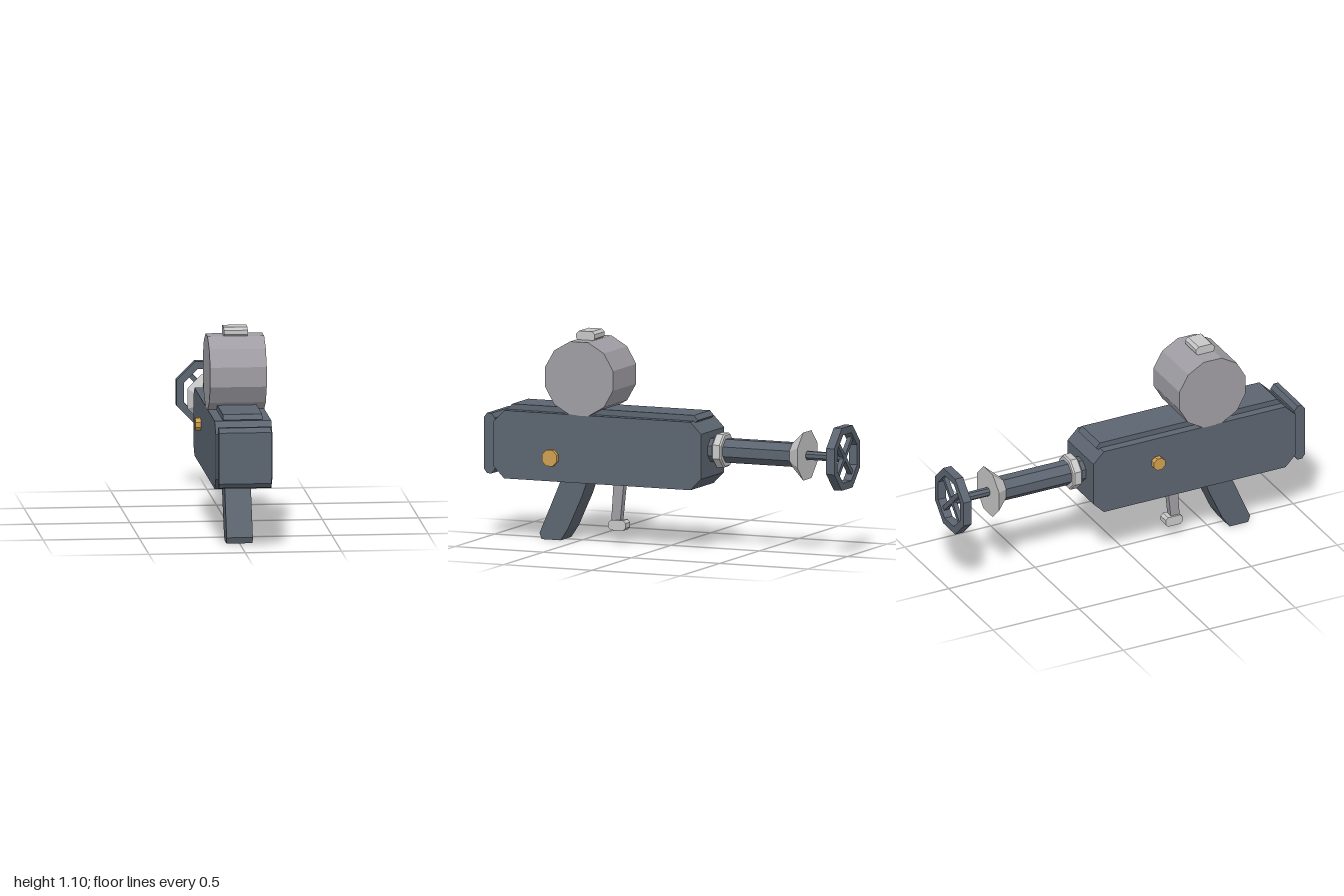
import * as THREE from 'three';

const material = (name, color) => {
  const m = new THREE.MeshStandardMaterial({ color });
  m.name = name;
  return m;
};

export function createModel() {
  const slate = material('slate', 0x5c6570);
  const grey = material('grey', 0xa09ea4);
  const silver = material('silver', 0xc8c8c8);
  const brass = material('brass', 0xd0a050);
  const root = new THREE.Group();
  const axisY = 0.518; // height of the barrel axis

  // Adds a faceted mesh with one flat normal per face
  const add = (name, geometry, mat, x = 0, y = 0, z = 0) => {
    const flat = geometry.index ? geometry.toNonIndexed() : geometry;
    flat.computeVertexNormals();
    const mesh = new THREE.Mesh(flat, mat);
    mesh.name = name;
    mesh.position.set(x, y, z);
    root.add(mesh);
    return mesh;
  };

  // Side profile of [z, y] points, extruded evenly across x
  const profile = (name, points, halfWidth, mat) => {
    const shape = new THREE.Shape(points.map(([z, y]) => new THREE.Vector2(z, y)));
    const g = new THREE.ExtrudeGeometry(shape, { depth: halfWidth * 2, bevelEnabled: false });
    g.translate(0, 0, -halfWidth).rotateY(-Math.PI / 2);
    return add(name, g, mat);
  };

  // Rectangle profile with cut corners
  const chamfered = (z0, z1, y0, y1, cz, cy = cz) => [
    [z0 + cz, y0], [z1 - cz, y0], [z1, y0 + cy], [z1, y1 - cy],
    [z1 - cz, y1], [z0 + cz, y1], [z0, y1 - cy], [z0, y0 + cy],
  ];

  // Octagonal section along z; radii are measured to the flats
  const toCorner = 1 / Math.cos(Math.PI / 8);
  const octagon = (name, z0, z1, r0, r1, mat) => {
    const g = new THREE.CylinderGeometry(r1 * toCorner, r0 * toCorner, z1 - z0, 8);
    g.rotateY(Math.PI / 8).rotateX(Math.PI / 2);
    return add(name, g, mat, 0, axisY, (z0 + z1) / 2);
  };

  // Body, front cap and top plate
  profile('body', chamfered(-0.235, 0.94, 0.32, 0.675, 0.06), 0.147, slate);
  profile('frontCap', chamfered(0.938, 1, 0.34, 0.655, 0.018, 0.024), 0.136, slate);
  profile('topPlate', [
    [-0.175, 0.66], [0.86, 0.66], [0.878, 0.68], [0.855, 0.705], [-0.175, 0.705], [-0.197, 0.68],
  ], 0.102, slate);

  // Drum and its catch
  const drum = new THREE.CylinderGeometry(0.199, 0.199, 0.294, 12);
  drum.rotateY(Math.PI / 12).rotateZ(Math.PI / 2);
  add('drum', drum, grey, 0, 0.864, 0.456);
  profile('drumCatch', chamfered(0.405, 0.51, 1.05, 1.102, 0.015), 0.062, silver);

  // Grip and trigger
  profile('grip', [
    [0.59, 0.325], [0.715, 0.035], [0.703, 0.003], [0.596, 0.003],
    [0.553, 0.067], [0.473, 0.243], [0.445, 0.325],
  ], 0.068, slate);
  profile('trigger', [[0.318, 0.305], [0.33, 0.115], [0.28, 0.11], [0.26, 0.305]], 0.02, grey);
  profile('triggerFoot', chamfered(0.245, 0.343, 0.067, 0.12, 0.014), 0.03, silver);

  // Barrel, collar, flared muzzle and rod
  octagon('barrel', -0.7, -0.23, 0.061, 0.061, slate);
  octagon('collarBack', -0.32, -0.312, 0.08, 0.087, silver);
  octagon('collar', -0.312, -0.275, 0.087, 0.087, silver);
  octagon('collarFront', -0.275, -0.267, 0.087, 0.08, silver);
  octagon('muzzle', -0.772, -0.698, 0.125, 0.061, silver);
  octagon('rod', -0.985, -0.77, 0.022, 0.022, slate);

  // Hand wheel: octagonal rim with crossed spokes
  const ring = (r) => Array.from({ length: 8 }, (_, i) => {
    const a = (i + 0.5) * Math.PI / 4;
    return new THREE.Vector2(Math.cos(a), Math.sin(a)).multiplyScalar(r * toCorner);
  });
  const rim = new THREE.Shape(ring(0.163));
  rim.holes.push(new THREE.Path(ring(0.125).reverse()));
  add('wheelRim', new THREE.ExtrudeGeometry(rim, { depth: 0.046, bevelEnabled: false }), slate, 0, axisY, -0.998);
  for (const side of [-1, 1]) {
    const spoke = add('wheelSpoke', new THREE.BoxGeometry(0.26, 0.024, 0.024), slate, 0, axisY, -0.975);
    spoke.rotation.z = side * Math.PI / 4;
  }

  // Side buttons
  const button = (name, r, x0, x1, y, z) => {
    const g = new THREE.CylinderGeometry(r * toCorner, r * toCorner, x1 - x0, 8);
    g.rotateY(Math.PI / 8).rotateZ(Math.PI / 2);
    add(name, g, brass, (x0 + x1) / 2, y, z);
  };
  button('leftButton', 0.042, 0.145, 0.171, 0.444, 0.614);
  button('rightButton', 0.033, -0.175, -0.145, 0.537, 0.135);

  return root;
}
